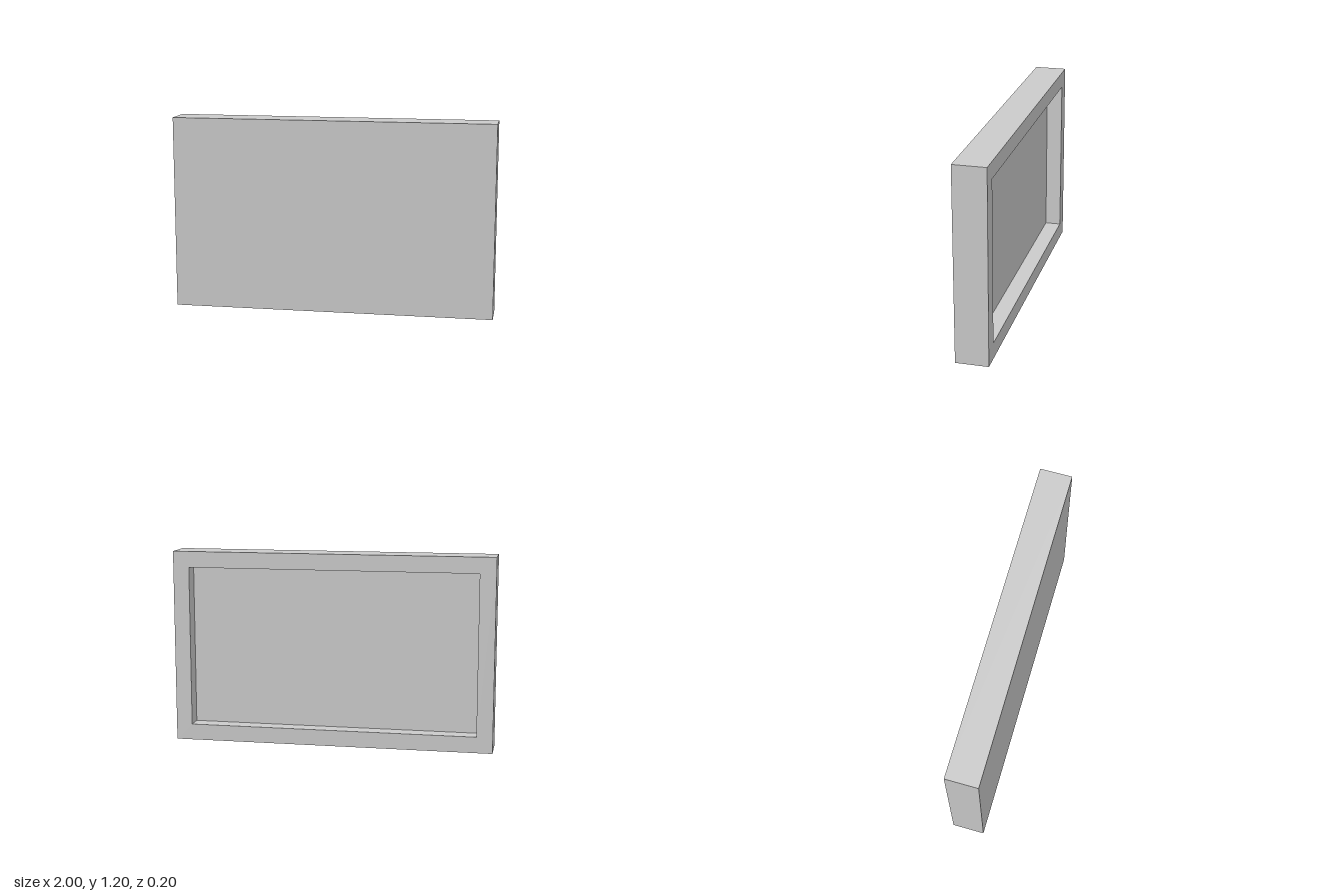
import * as THREE from 'three';

const WIDTH = 2, HEIGHT = 1.2, DEPTH = 0.2;
const BORDER = 0.1;  // width of the rim around the back recess
const RECESS = 0.1;  // depth of the back recess

// Four corners of a rectangle, counter-clockwise seen from the front
function ring(inset, z) {
  const x = WIDTH / 2 - inset, y0 = inset, y1 = HEIGHT - inset;
  return [[-x, y0, z], [x, y0, z], [x, y1, z], [-x, y1, z]];
}

// Closed, flat-faced solid skinned through successive rings from front to back
function skinRings(rings) {
  const positions = [];
  const quad = (a, b, c, d) => positions.push(...a, ...b, ...c, ...a, ...c, ...d);

  quad(...rings[0]);
  for (let i = 0; i < rings.length - 1; i++) {
    const near = rings[i], far = rings[i + 1];
    for (let j = 0; j < 4; j++) {
      const k = (j + 1) % 4;
      quad(near[j], far[j], far[k], near[k]);
    }
  }
  quad(...[...rings[rings.length - 1]].reverse());

  const geometry = new THREE.BufferGeometry();
  geometry.setAttribute('position', new THREE.Float32BufferAttribute(positions, 3));
  geometry.computeVertexNormals();
  return geometry;
}

export function createModel() {
  const group = new THREE.Group();
  group.name = 'stretchedCanvas';

  // Plain front, square sides, raised rim and recessed panel at the back
  const canvas = new THREE.Mesh(
    skinRings([
      ring(0, DEPTH / 2),
      ring(0, -DEPTH / 2),
      ring(BORDER, -DEPTH / 2),
      ring(BORDER, -DEPTH / 2 + RECESS),
    ]),
    new THREE.MeshStandardMaterial({ color: 0xcccccc, flatShading: true })
  );
  canvas.name = 'canvasPanel';
  group.add(canvas);

  return group;
}
